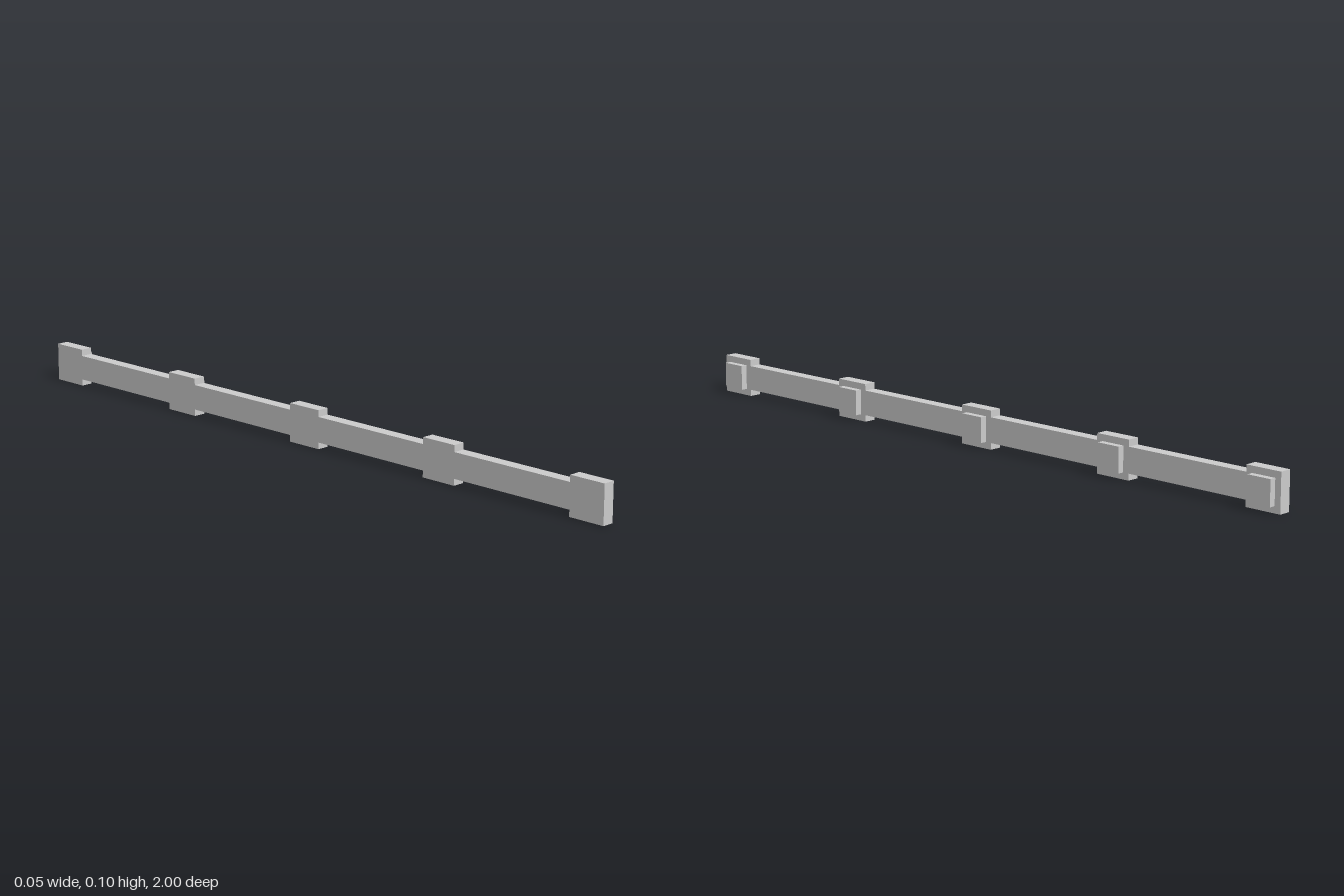
import * as THREE from 'three';

const PITCH = 0.474, PLATE = 0.105, BACK = -0.026, FACE = 0.008, FRONT = 0.026;
const RAIL_LOW = 0.018, RAIL_HIGH = 0.087, PEG = 0.069;

export function createModel() {
  const model = new THREE.Group();
  const material = new THREE.MeshStandardMaterial({ color: 0xcccccc, flatShading: true });
  const centres = [-2, -1, 0, 1, 2].map((i) => i * PITCH);

  // Rail with five taller plates, all flush: one stepped outline
  const top = [], bottom = [];
  for (const c of centres) {
    const a = Math.max(c - PLATE / 2, -1), b = Math.min(c + PLATE / 2, 1);
    bottom.push([a, RAIL_LOW], [a, 0], [b, 0], [b, RAIL_LOW]);
    top.push([a, RAIL_HIGH], [a, PLATE], [b, PLATE], [b, RAIL_HIGH]);
  }
  // The end faces run straight from bottom to top
  const outline = [...bottom.slice(1, -1), ...top.slice(1, -1).reverse()];
  const shape = new THREE.Shape(outline.map(([u, y]) => new THREE.Vector2(u, y)));
  const railGeometry = new THREE.ExtrudeGeometry(shape, { depth: FACE - BACK, bevelEnabled: false });
  railGeometry.rotateY(Math.PI / 2).translate(BACK, 0, 0);
  const rail = new THREE.Mesh(railGeometry, material);
  rail.name = 'steppedRail';
  model.add(rail);

  // Square raised block on each plate
  const pegGeometry = new THREE.BoxGeometry(FRONT - FACE, PEG, PEG);
  centres.forEach((z, i) => {
    const peg = new THREE.Mesh(pegGeometry, material);
    peg.name = `raisedBlock${i + 1}`;
    peg.position.set((FACE + FRONT) / 2, PLATE / 2, z);
    model.add(peg);
  });
  return model;
}
